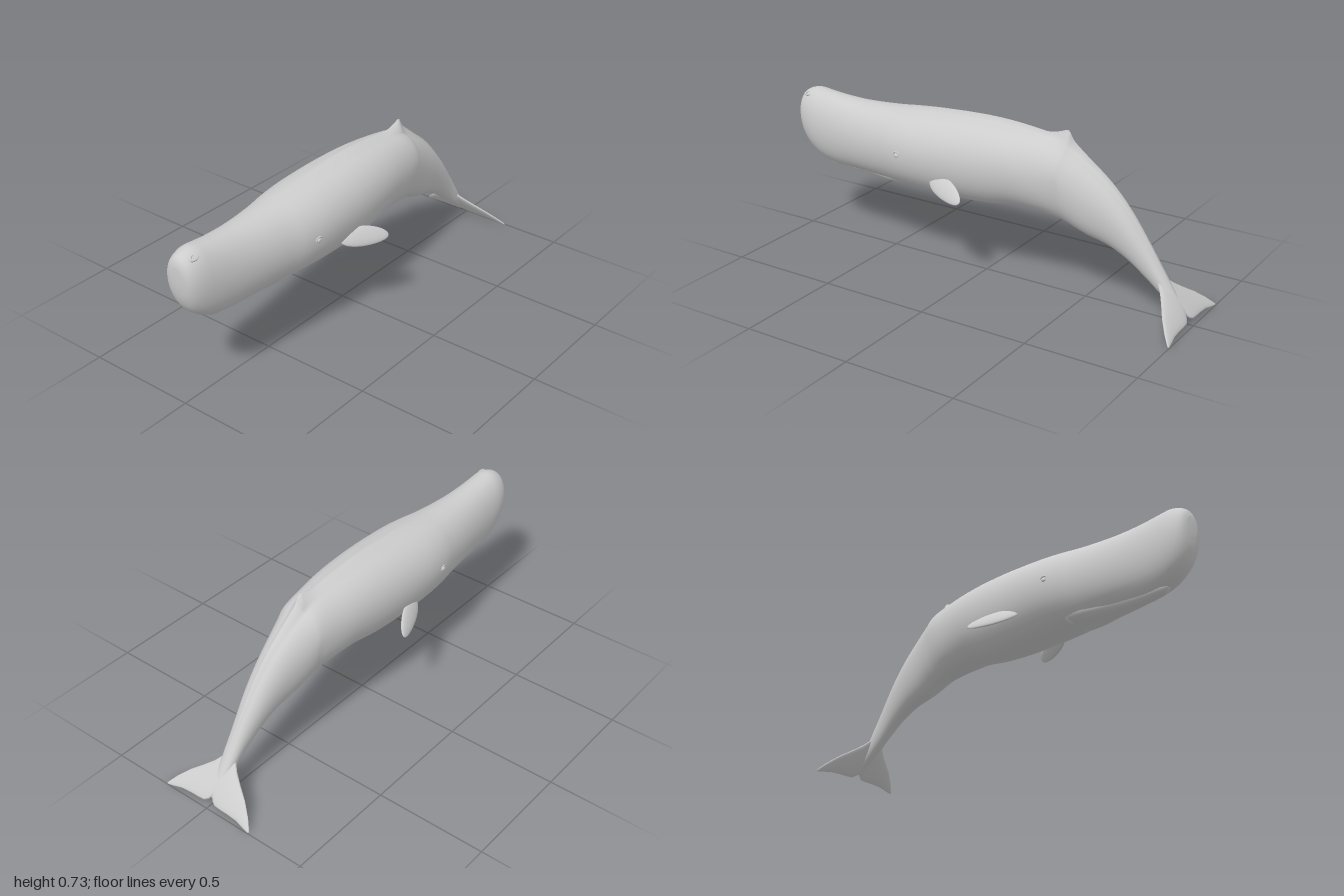
import * as THREE from 'three';

const skin = new THREE.MeshStandardMaterial({ color: 0xcccccc });
skin.name = 'pale grey skin';

// Skin a list of closed rings of points, with a fan over each end
function loft(rings) {
  const n = rings[0].length, pos = [], idx = [];
  rings.forEach(r => r.forEach(p => pos.push(...p)));
  for (let i = 0; i < rings.length - 1; i++) for (let j = 0; j < n; j++) {
    const k = (j + 1) % n, a = i * n + j, b = i * n + k;
    idx.push(a, b, a + n, b, b + n, a + n);
  }
  const last = (rings.length - 1) * n;
  [0, last].forEach(start => {
    const ring = rings[start / n], centre = pos.length / 3;
    pos.push(...[0, 1, 2].map(c => ring.reduce((s, p) => s + p[c], 0) / n));
    for (let j = 0; j < n; j++) {
      const a = start + j, b = start + (j + 1) % n;
      idx.push(centre, ...(start ? [a, b] : [b, a]));
    }
  });
  const g = new THREE.BufferGeometry();
  g.setAttribute('position', new THREE.Float32BufferAttribute(pos, 3));
  g.setIndex(idx);
  g.computeVertexNormals();
  return g;
}

// Body-like ring: round above, fuller below, with a raised ridge on top
function bodyRing(x, top, bottom, w, ridge, n) {
  const mid = (top + bottom) / 2, h = (top - bottom) / 2, ring = [];
  for (let j = 0; j < n; j++) {
    const a = j / n * Math.PI * 2, s = Math.sin(a), c = Math.cos(a);
    const power = c < 0 ? 0.85 : 0.95;
    const y = mid + (c > 0 ? h - ridge : h) * c + (j === 0 ? ridge : 0);
    ring.push([x, y, w * Math.sign(s) * Math.abs(s) ** power]);
  }
  return ring;
}

// Smooth the stations [x, top, bottom, half width, ridge] into rings
function spine(stations, steps, n) {
  const a = new THREE.CatmullRomCurve3(stations.map(s => new THREE.Vector3(s[0], s[1], s[2])), false, 'catmullrom');
  const b = new THREE.CatmullRomCurve3(stations.map(s => new THREE.Vector3(s[3], s[4], 0)), false, 'catmullrom');
  const rings = [];
  for (let i = 0; i <= steps; i++) {
    const p = a.getPoint(i / steps), q = b.getPoint(i / steps);
    rings.push(bodyRing(p.x, p.y, p.z, q.x, Math.max(q.y, 0), n));
  }
  return loft(rings);
}

const BODY = [
  [-1, 0.64, 0.56, 0.03, 0], [-0.99, 0.67, 0.5, 0.058, 0], [-0.965, 0.69, 0.445, 0.078, 0],
  [-0.92, 0.702, 0.4, 0.092, 0], [-0.86, 0.696, 0.37, 0.1, 0], [-0.78, 0.688, 0.357, 0.107, 0],
  [-0.66, 0.683, 0.355, 0.12, 0], [-0.5, 0.69, 0.352, 0.143, 0], [-0.4, 0.702, 0.35, 0.163, 0.003],
  [-0.28, 0.717, 0.348, 0.175, 0.008], [-0.1, 0.731, 0.345, 0.174, 0.012], [0.05, 0.735, 0.352, 0.165, 0.014],
  [0.18, 0.728, 0.37, 0.151, 0.014], [0.3, 0.716, 0.366, 0.134, 0.014], [0.36, 0.727, 0.358, 0.124, 0.035],
  [0.4, 0.738, 0.349, 0.116, 0.06], [0.43, 0.695, 0.34, 0.11, 0.035], [0.51, 0.63, 0.307, 0.092, 0.018],
  [0.61, 0.55, 0.28, 0.072, 0.016], [0.7, 0.452, 0.235, 0.056, 0.014], [0.79, 0.325, 0.168, 0.04, 0.01],
  [0.86, 0.215, 0.113, 0.033, 0.006], [0.92, 0.12, 0.072, 0.022, 0.002], [0.965, 0.05, 0.038, 0.008, 0],
];

const JAW = [
  [-0.87, 0.385, 0.37, 0.012, 0], [-0.84, 0.405, 0.352, 0.03, 0], [-0.74, 0.413, 0.344, 0.042, 0],
  [-0.6, 0.418, 0.342, 0.06, 0], [-0.48, 0.42, 0.344, 0.085, 0], [-0.4, 0.41, 0.352, 0.09, 0],
];

// Flukes: [z, leading x, trailing x, half thickness]
const FLUKE = [
  [0, 0.83, 0.962, 0.014], [0.01, 0.83, 0.975, 0.014], [0.03, 0.845, 0.984, 0.013],
  [0.06, 0.872, 0.985, 0.012], [0.1, 0.898, 0.985, 0.01], [0.15, 0.928, 0.987, 0.008],
  [0.195, 0.962, 0.994, 0.006], [0.218, 0.984, 0.997, 0.004], [0.226, 0.993, 0.997, 0.002],
];

function flukes() {
  const mirrored = FLUKE.slice(1).reverse().map(([z, ...rest]) => [-z, ...rest]);
  return loft([...mirrored, ...FLUKE].map(([z, lead, trail, t]) => {
    const ring = [];
    for (let j = 0; j < 16; j++) {
      const a = j / 16 * Math.PI * 2;
      const x = (lead + trail) / 2 - (trail - lead) / 2 * Math.sin(a);
      const y = 0.008 + (1 - x) * 1.11, off = t * Math.cos(a);
      ring.push([x + off * 0.75, Math.max(0, y + off * 0.66), z]);
    }
    return ring;
  }));
}

// Flipper: flattened leaf, swept back, outward and down; side is +1 or -1
function flipper(side) {
  const g = new THREE.SphereGeometry(1, 24, 16);
  const p = g.attributes.position;
  const long = new THREE.Vector3(0.19, -0.03, 0.085 * side).normalize();
  const normal = new THREE.Vector3().crossVectors(long, new THREE.Vector3(0, 0.75, -0.5 * side)).normalize();
  const chord = new THREE.Vector3().crossVectors(normal, long);
  for (let i = 0; i < p.count; i++) {
    const u = p.getX(i), taper = 1 - 0.12 * u;
    p.setXYZ(i, u * 0.118, p.getY(i) * 0.043 * taper - 0.006 * u * u, p.getZ(i) * 0.013 * taper);
  }
  g.applyMatrix4(new THREE.Matrix4().makeBasis(long, chord, normal));
  g.translate(-0.088, 0.432, 0.188 * side);
  g.computeVertexNormals();
  return g;
}

export function createModel() {
  const whale = new THREE.Group();
  whale.name = 'whale';
  const add = (name, geometry) => {
    const mesh = new THREE.Mesh(geometry, skin);
    mesh.name = name;
    whale.add(mesh);
    return mesh;
  };

  add('body', spine(BODY, 92, 36));
  add('lowerJaw', spine(JAW, 24, 24));
  add('tailFlukes', flukes());

  for (const side of [1, -1]) {
    const label = side > 0 ? 'front' : 'back';
    add(label + 'Flipper', flipper(side));
    // Eye with a fold of skin above it
    const eye = add(label + 'Eye', new THREE.SphereGeometry(1, 12, 8));
    eye.scale.set(0.012, 0.009, 0.006);
    eye.position.set(-0.36, 0.527, 0.168 * side);
    const lid = add(label + 'Eyelid', new THREE.TorusGeometry(0.017, 0.004, 6, 14, Math.PI));
    lid.scale.y = 0.8;
    lid.position.set(-0.36, 0.53, 0.168 * side);
    lid.rotation.y = -0.12 * side;
  }

  // Blowhole lip, off centre at the front of the head
  const lip = add('blowhole', new THREE.TorusGeometry(0.018, 0.005, 8, 18));
  lip.scale.y = 0.6;
  lip.rotation.set(-1.05, 0, 0.15);
  lip.position.set(-0.945, 0.676, 0.045);
  return whale;
}
